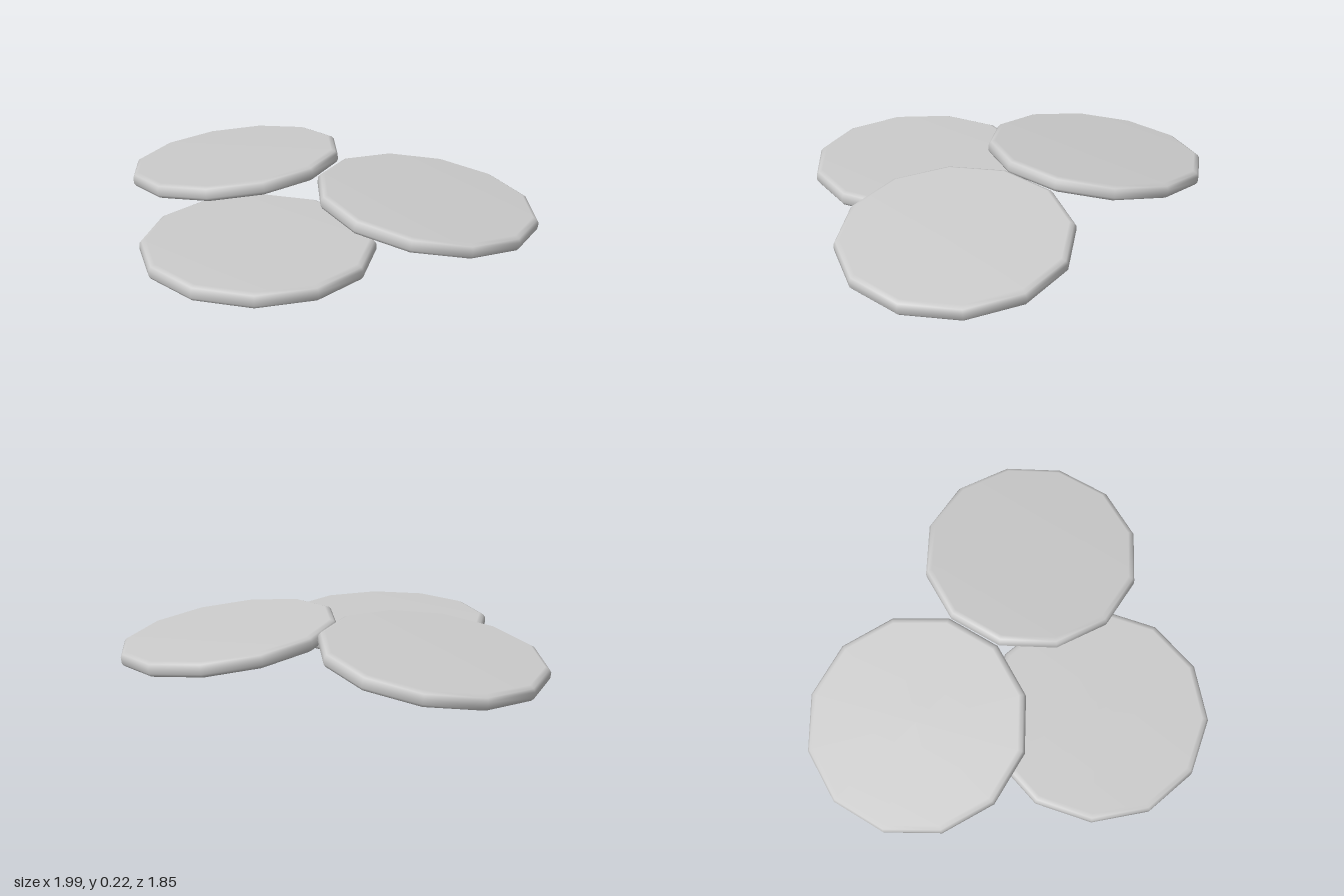
import * as THREE from 'three';

// Half outline of a thin disc with a rounded rim, bottom centre to top centre
const R = 0.522, H = 0.037;
const profile = [
  [0, -H], [R - 0.03, -H], [R - 0.01, -H + 0.009], [R, -H + 0.023],
  [R, H - 0.023], [R - 0.01, H - 0.009], [R - 0.03, H], [0, H],
].map(([x, y]) => new THREE.Vector2(x, y));

// centre, spin in degrees, and slope of the disc along x and z
const discs = [
  { name: 'flatDisc', at: [0.227, 0.053, 0.409], spin: 12, slope: [0, 0] },
  { name: 'rightLeaningDisc', at: [-0.482, 0.123, -0.05], spin: -5.5, slope: [0.14, -0.028] },
  { name: 'leftLeaningDisc', at: [0.476, 0.106, -0.41], spin: -5, slope: [-0.09, 0.095] },
];

export function createModel() {
  const group = new THREE.Group();
  group.name = 'discPile';
  const material = new THREE.MeshStandardMaterial({ color: 0xcccccc });
  const geometry = new THREE.LatheGeometry(profile, 12);
  const up = new THREE.Vector3(0, 1, 0);

  for (const { name, at, spin, slope } of discs) {
    const disc = new THREE.Mesh(geometry, material);
    disc.name = name;
    disc.position.set(...at);
    // tilt the spun disc onto its resting plane
    const normal = new THREE.Vector3(-slope[0], 1, -slope[1]).normalize();
    disc.quaternion.setFromUnitVectors(up, normal);
    disc.rotateY(-THREE.MathUtils.degToRad(spin));
    group.add(disc);
  }
  return group;
}
